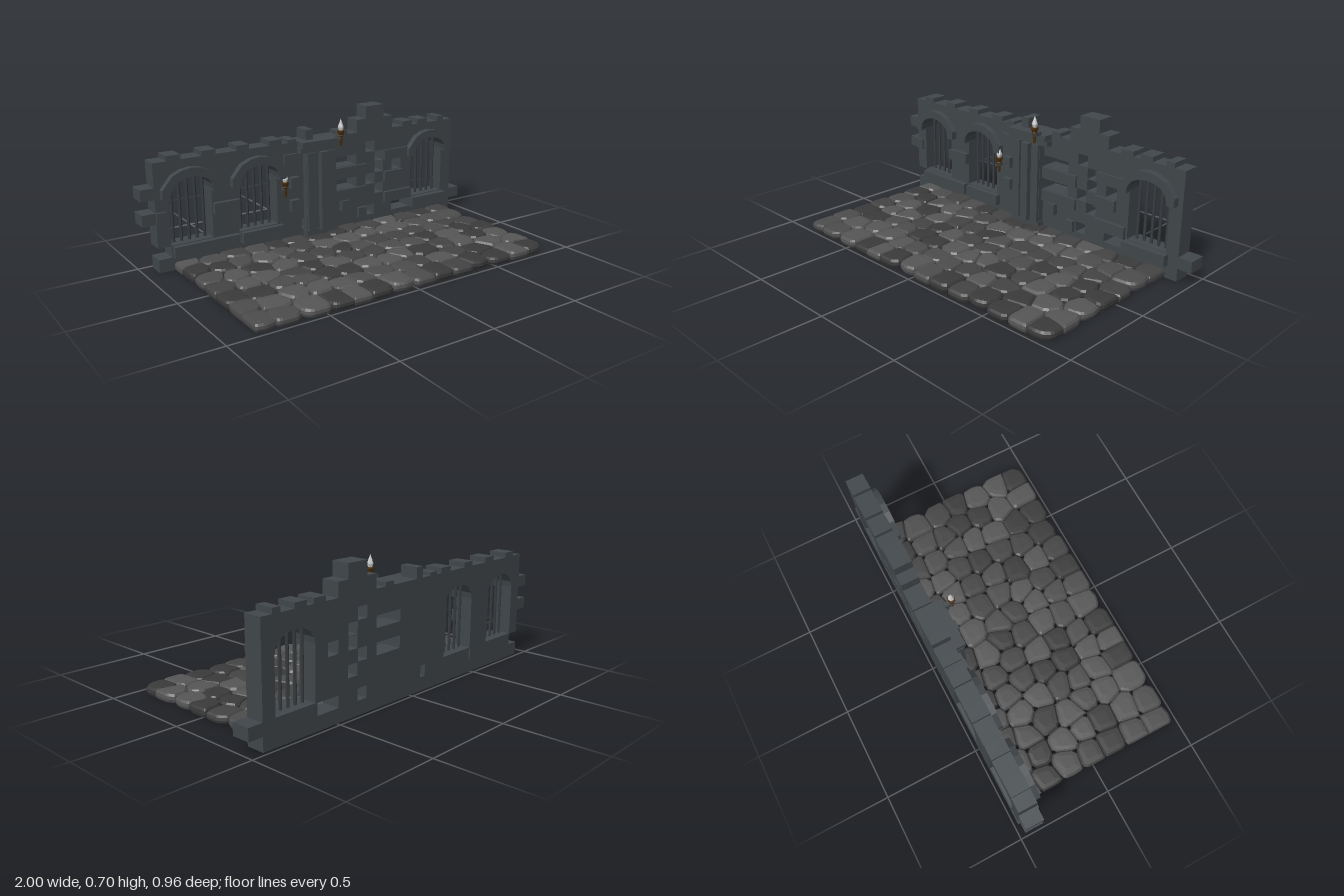
import * as THREE from 'three';

const BACK = -0.48, FACE = -0.385;
const mat = (color) => new THREE.MeshStandardMaterial({ color, flatShading: true });
const wallMat = mat(0x40464a), barMat = mat(0x363b3f);
const woodMat = mat(0x4a2f0c), flameMat = mat(0xcccccc);
const stoneMats = [0x3a3a3a, 0x434343, 0x4c4c4c, 0x555555].map(mat);

let seed = 11;
const rand = () => ((seed = (seed * 16807) % 2147483647) / 2147483647);

function add(parent, name, geometry, material, x = 0, y = 0, z = 0) {
  const mesh = new THREE.Mesh(geometry, material);
  mesh.name = name;
  mesh.position.set(x, y, z);
  parent.add(mesh);
  return mesh;
}
const block = (parent, name, x0, x1, y0, y1, z0, z1, material = wallMat) =>
  add(parent, name, new THREE.BoxGeometry(x1 - x0, y1 - y0, z1 - z0), material,
    (x0 + x1) / 2, (y0 + y1) / 2, (z0 + z1) / 2);
const points = (list) => list.map(([x, y]) => new THREE.Vector2(x, y));
const extrude = (shape, depth) => new THREE.ExtrudeGeometry(shape, { depth, bevelEnabled: false });

// Half of the window head, from the jamb to the crown
const HEAD = [[0.113, 0.39], [0.107, 0.42], [0.085, 0.45], [0.05, 0.468], [0, 0.476]];
const mirrored = (half) => [...half, ...half.slice(0, -1).reverse().map(([x, y]) => [-x, y])];
const WINDOWS = [-0.747, -0.375, 0.743];

function makeWall() {
  const wall = new THREE.Group();
  wall.name = 'wall';
  // Outline with toothed ends and battlements
  const outline = [[-0.93, 0], [0.925, 0], [0.925, 0.068], [1, 0.068], [1, 0.128], [0.925, 0.128], [0.925, 0.56]];
  const merlons = [[0.82, 0.865, 0.585], [0.675, 0.745, 0.585], [0.565, 0.635, 0.585]];
  const merlonsLeft = [[0.13, 0.185, 0.58], [-0.08, -0.035, 0.615], [-0.19, -0.14, 0.575],
    [-0.3, -0.225, 0.585], [-0.485, -0.415, 0.585], [-0.675, -0.6, 0.585], [-0.86, -0.785, 0.585]];
  const step = ([x0, x1, y]) => outline.push([x1, 0.56], [x1, y], [x0, y], [x0, 0.56]);
  merlons.forEach(step);
  outline.push([0.49, 0.56], [0.49, 0.63], [0.43, 0.63], [0.43, 0.7], [0.31, 0.7], [0.31, 0.63], [0.25, 0.63], [0.25, 0.56]);
  merlonsLeft.forEach(step);
  outline.push([-0.93, 0.56], [-0.93, 0.437], [-1, 0.437], [-1, 0.378], [-0.93, 0.378], [-0.93, 0.31],
    [-1, 0.31], [-1, 0.252], [-0.93, 0.252], [-0.93, 0.128], [-0.86, 0.128], [-0.86, 0.068], [-0.93, 0.068]);
  const shape = new THREE.Shape(points(outline));

  // Arched windows and missing bricks
  for (const cx of WINDOWS) {
    const hole = [[0.113, 0.13], ...mirrored(HEAD), [-0.113, 0.13]].map(([x, y]) => [x + cx, y]);
    shape.holes.push(new THREE.Path(points(hole)));
  }
  const gaps = [[0.08, 0.245, 0.38, 0.438], [0.08, 0.245, 0.252, 0.313], [0.308, 0.368, 0.44, 0.5],
    [0.37, 0.43, 0.38, 0.438], [0.37, 0.43, 0.315, 0.378], [0.308, 0.368, 0.252, 0.313],
    [0.37, 0.43, 0.19, 0.25], [0.308, 0.368, 0.07, 0.128], [0.49, 0.555, 0.315, 0.378],
    [0.49, 0.62, 0.07, 0.128], [-0.115, -0.08, 0.07, 0.128], [-0.492, -0.482, 0.068, 0.126]];
  for (const [x0, x1, y0, y1] of gaps)
    shape.holes.push(new THREE.Path(points([[x0, y0], [x1, y0], [x1, y1], [x0, y1]])));
  add(wall, 'wallBody', extrude(shape, FACE - BACK), wallMat, 0, 0, BACK);

  // Raised bricks on the front
  const bricks = [[-0.855, -0.5, 0.068, 0.126, -0.355], [-0.48, -0.24, 0.068, 0.126, -0.355],
    [0.62, 0.87, 0.068, 0.126, -0.35], [-0.63, -0.49, 0.252, 0.312, -0.36],
    [-0.19, -0.14, 0.315, 0.375, -0.355], [-0.19, -0.14, 0.19, 0.25, -0.355],
    [-0.22, -0.13, 0.44, 0.5, -0.37], [0.13, 0.18, 0.13, 0.19, -0.355],
    [0.08, 0.305, 0.315, 0.378, -0.37], [0.08, 0.305, 0.19, 0.25, -0.37],
    [0.43, 0.555, 0.252, 0.312, -0.365], [0.43, 0.6, 0.38, 0.437, -0.37],
    [0.43, 0.62, 0.13, 0.19, -0.365], [0.25, 0.3, 0.068, 0.128, -0.365],
    [-0.93, -0.88, 0.252, 0.312, -0.37]];
  for (const [x0, x1, y0, y1, z] of bricks) block(wall, 'raisedBrick', x0, x1, y0, y1, FACE - 0.01, z);
  return wall;
}

function makeWindow(cx) {
  const group = new THREE.Group();
  group.name = 'window';
  group.position.x = cx;
  // Projecting arched hood
  const outer = mirrored([[0.155, 0.38], [0.155, 0.425], [0.1, 0.49], [0.05, 0.512], [0, 0.52]]);
  const inner = mirrored([[0.113, 0.38], ...HEAD]).reverse();
  add(group, 'archHood', extrude(new THREE.Shape(points([...outer, ...inner])), 0.045), wallMat, 0, 0, FACE - 0.01);
  // Iron bars
  for (let i = -2; i <= 2; i++)
    add(group, 'windowBar', new THREE.CylinderGeometry(0.008, 0.008, 0.35, 6), barMat,
      i * 0.042, 0.295 - Math.abs(i) * 0.005, -0.43);
  return group;
}

function makePillar() {
  const group = new THREE.Group();
  group.name = 'pillar';
  block(group, 'pillarBack', -0.1, 0.08, 0.04, 0.5, FACE - 0.01, -0.35);
  block(group, 'pillarShaft', -0.025, 0.022, 0.065, 0.5, -0.36, -0.318);
  for (const x of [-0.08, 0.05]) block(group, 'pillarRib', x - 0.018, x + 0.028, 0.065, 0.5, -0.36, -0.335);
  block(group, 'pillarFoot', -0.105, 0.085, 0.03, 0.068, FACE - 0.01, -0.343);
  block(group, 'pillarLintel', -0.135, 0.13, 0.5, 0.53, FACE - 0.01, -0.345);
  block(group, 'pillarCap', -0.13, 0.125, 0.53, 0.56, FACE - 0.01, -0.333);
  return group;
}

// Wall torch, origin at the bottom of the handle
function makeTorch(x, y, z) {
  const group = new THREE.Group();
  group.name = 'torch';
  group.position.set(x, y, z);
  const profile = [[0, 0], [0.006, 0], [0.011, 0.05], [0.015, 0.055], [0.013, 0.06], [0.02, 0.078], [0.02, 0.084], [0, 0.084]];
  add(group, 'torchHandle', new THREE.LatheGeometry(points(profile), 8), woodMat);
  const flame = [[0, 0.08], [0.011, 0.085], [0.016, 0.102], [0.008, 0.125], [0, 0.147]];
  add(group, 'torchFlame', new THREE.LatheGeometry(points(flame), 6), flameMat);
  block(group, 'torchBracket', -0.012, 0.012, 0.036, 0.054, -0.04, 0.008, wallMat);
  return group;
}

// Keep the part of a polygon nearer to a than to b
function clipNearer(poly, a, b) {
  const nx = b[0] - a[0], nz = b[1] - a[1];
  const side = (p) => (p[0] - (a[0] + b[0]) / 2) * nx + (p[1] - (a[1] + b[1]) / 2) * nz;
  const out = [];
  poly.forEach((p, i) => {
    const q = poly[(i + 1) % poly.length], s = side(p), t = side(q);
    if (s <= 0) out.push(p);
    if (s * t < 0) out.push([p[0] + (q[0] - p[0]) * s / (s - t), p[1] + (q[1] - p[1]) * s / (s - t)]);
  });
  return out;
}

// Cobble from stacked, shrinking copies of its outline
function cobbleGeometry(poly, c, height) {
  const rings = [[0.93, 0], [1, height * 0.35], [0.98, height * 0.72], [0.86, height * 0.96], [0.5, height]];
  const n = poly.length, pos = [], index = [];
  for (const [s, y] of rings) for (const p of poly) pos.push((p[0] - c[0]) * s, y, (p[1] - c[1]) * s);
  pos.push(0, height, 0, 0, 0, 0);
  const top = rings.length * n, last = top - n;
  for (let i = 0; i < n; i++) {
    const j = (i + 1) % n;
    for (let r = 0; r < last; r += n) index.push(r + i, r + n + i, r + j, r + j, r + n + i, r + n + j);
    index.push(last + i, top, last + j, i, j, top + 1);
  }
  const geometry = new THREE.BufferGeometry();
  geometry.setAttribute('position', new THREE.Float32BufferAttribute(pos, 3));
  geometry.setIndex(index);
  geometry.computeVertexNormals();
  return geometry;
}

function makeFloor() {
  const floor = new THREE.Group();
  floor.name = 'cobbledFloor';
  const COLS = 14, ROWS = 7, sites = [];
  for (let i = 0; i < COLS; i++) for (let k = 0; k < ROWS; k++) {
    const x = -0.785 + i * 0.121 + (rand() - 0.5) * 0.05;
    const z = -0.345 + k * 0.125 + (i % 2 - 0.5) * 0.02 + (rand() - 0.5) * 0.05;
    sites.push([x, Math.min(z, 0.4)]);
  }
  for (const c of sites) {
    let poly = [];
    for (let i = 0; i < 12; i++) {
      const a = -i * Math.PI / 6;
      poly.push([THREE.MathUtils.clamp(c[0] + Math.cos(a) * 0.092, -0.85, 0.86),
        THREE.MathUtils.clamp(c[1] + Math.sin(a) * 0.092, -0.43, 0.48)]);
    }
    for (const other of sites)
      if (other !== c && Math.hypot(other[0] - c[0], other[1] - c[1]) < 0.19) poly = clipNearer(poly, c, other);
    // Round the corners
    poly = poly.flatMap((p, i) => {
      const q = poly[(i + 1) % poly.length];
      return [0.2, 0.8].map((t) => [p[0] + (q[0] - p[0]) * t, p[1] + (q[1] - p[1]) * t]);
    }).reverse();
    // The winding must run so that the sides face outward
    const area = poly.reduce((s, p, i) => {
      const q = poly[(i + 1) % poly.length];
      return s + p[0] * q[1] - q[0] * p[1];
    }, 0);
    if (area > 0) poly.reverse();
    const geometry = cobbleGeometry(poly.reverse(), c, 0.037 + rand() * 0.008);
    add(floor, 'cobble', geometry, stoneMats[Math.floor(rand() * 4)], c[0], 0, c[1]);
  }
  return floor;
}

export function createModel() {
  const model = new THREE.Group();
  model.name = 'dungeonWall';
  model.add(makeWall(), makePillar(), makeFloor());
  for (const cx of WINDOWS) model.add(makeWindow(cx));
  model.add(makeTorch(0.085, 0.525, -0.298), makeTorch(-0.225, 0.275, -0.362));
  return model;
}
